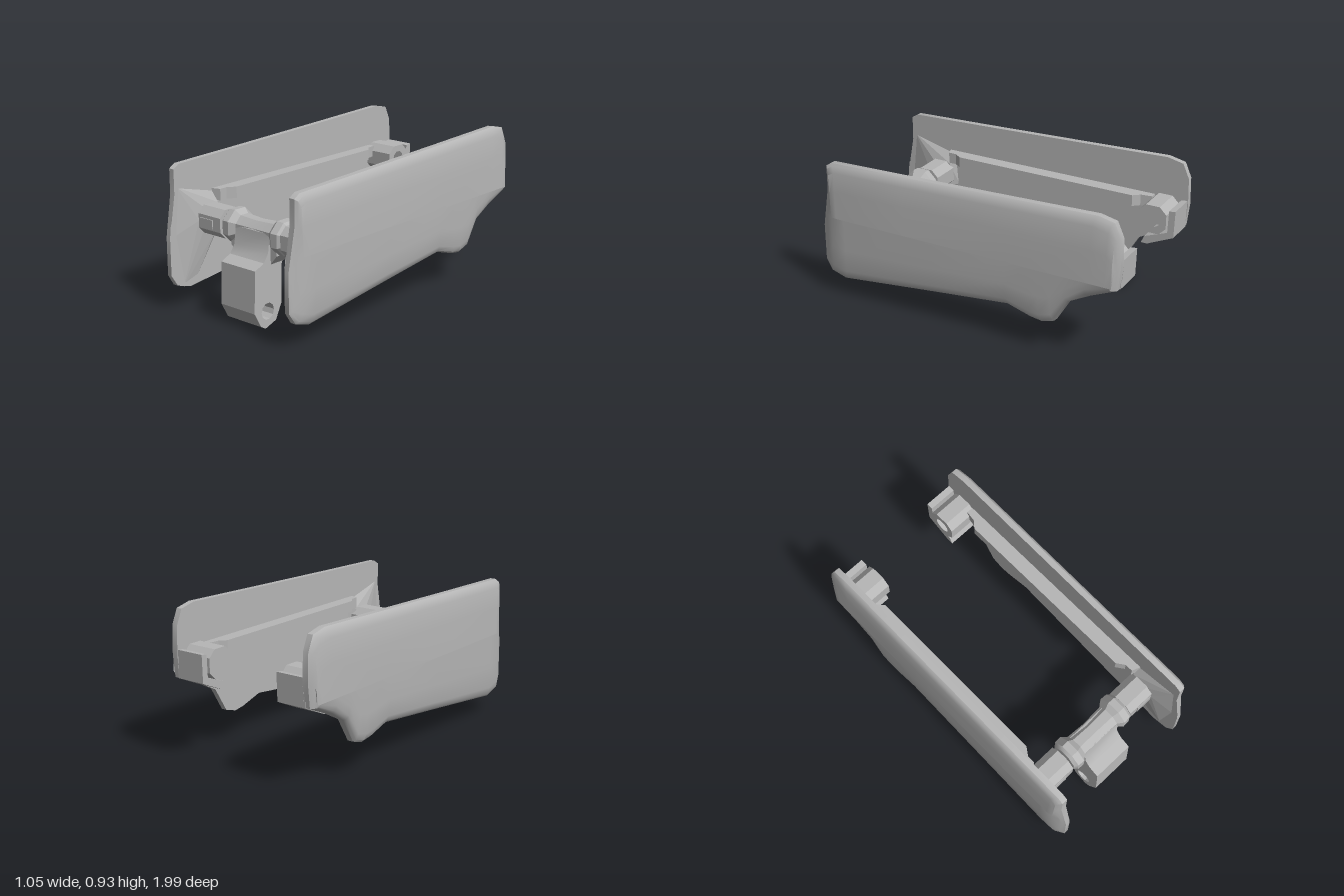
import * as THREE from 'three';
import { toCreasedNormals } from 'three/addons/utils/BufferGeometryUtils.js';
import { ConvexGeometry } from 'three/addons/geometries/ConvexGeometry.js';

const grey = new THREE.MeshStandardMaterial({ color: 0xb6b6b6 });
grey.name = 'plain grey';

const crease = (g, angle = 0.5) => toCreasedNormals(g, angle);

function add(group, name, geometry) {
  const mesh = new THREE.Mesh(geometry, grey);
  mesh.name = name;
  group.add(mesh);
}

// Mirror a non-indexed geometry across x = 0, keeping faces outward
function mirrorX(source) {
  const g = (source.index ? source.toNonIndexed() : source.clone());
  for (const key of ['position', 'normal']) {
    const a = g.attributes[key];
    for (let i = 0; i < a.count; i += 3) {
      const t = [0, 2, 1].map(k => [-a.getX(i + k), a.getY(i + k), a.getZ(i + k)]);
      t.forEach((v, k) => a.setXYZ(i + k, ...v));
    }
  }
  return g;
}

// Extrude a [z, y] outline from x0 to x1, with an optional round hole
function extrudeX(points, x0, x1, hole) {
  const shape = new THREE.Shape(points.map(([z, y]) => new THREE.Vector2(-z, y)));
  if (hole) {
    const path = new THREE.Path();
    path.absarc(-hole.z, hole.y, hole.r, 0, Math.PI * 2, true);
    shape.holes.push(path);
  }
  const g = new THREE.ExtrudeGeometry(shape, { depth: x1 - x0, bevelEnabled: false, curveSegments: 5 });
  g.rotateY(Math.PI / 2);
  g.translate(x0, 0, 0);
  return crease(g);
}

// Turned part along x; profile is [x, radius]
function turnedX(profile, y, z, sides = 8) {
  const g = new THREE.LatheGeometry(profile.map(([x, r]) => new THREE.Vector2(r, x)), sides, Math.PI / sides);
  g.rotateZ(-Math.PI / 2);
  g.translate(0, y, z);
  return crease(g, 0.6);
}

// Crowned side panel, lofted from its outline
function panelGeometry() {
  const outline = [
    [0.95, 0.85], [0.91, 0.875], [0.4, 0.89], [-0.3, 0.913], [-0.85, 0.932], [-0.95, 0.91], [-0.99, 0.82],
    [-0.995, 0.65], [-0.98, 0.51], [-0.82, 0.44], [-0.69, 0.37], [-0.6, 0.22], [-0.52, 0.195],
    [-0.45, 0.205], [-0.3, 0.25], [0.2, 0.195], [0.85, 0.12], [0.95, 0.15], [0.995, 0.22],
    [0.995, 0.45], [0.95, 0.7],
  ];
  // [x, y scale, z scale]
  const rings = [
    [0.452, 0, 0.99], [0.452, 1, 1], [0.488, 1, 1], [0.503, 0.96, 0.985],
    [0.514, 0.85, 0.97], [0.521, 0.5, 0.965], [0.525, 0, 0.96],
  ];
  const axis = 0.53, n = outline.length, pos = [], index = [];
  rings.forEach(([x, sy, sz]) => outline.forEach(([z, y]) => {
    const zz = z * sz;
    pos.push(Math.min(x, 0.525 - Math.max(0, zz - 0.9) * 0.45), axis + (y - axis) * sy, zz);
  }));
  for (let r = 0; r < rings.length - 1; r++) {
    for (let i = 0; i < n; i++) {
      const a = r * n + i, b = r * n + (i + 1) % n, c = a + n, d = b + n;
      index.push(a, c, b, b, c, d);
    }
  }
  const g = new THREE.BufferGeometry();
  g.setAttribute('position', new THREE.Float32BufferAttribute(pos, 3));
  g.setIndex(index);
  return crease(g, 0.6);
}

// Long rail on the inner face, with chamfered ends
function railGeometry() {
  const s = new THREE.Shape([
    [0.455, 0.66], [0.4, 0.64], [0.4, 0.59], [0.365, 0.54], [0.365, -0.67], [0.4, -0.71], [0.41, -0.78], [0.455, -0.78],
  ].map(([x, z]) => new THREE.Vector2(x, -z)));
  const g = new THREE.ExtrudeGeometry(s, { depth: 0.07, bevelEnabled: false });
  g.rotateX(-Math.PI / 2);
  g.translate(0, 0.61, 0);
  return crease(g);
}

// Faceted flare joining the front post to the panel
function flareGeometry() {
  return new ConvexGeometry([
    [0.455, 0.74, 0.93], [0.455, 0.45, 0.96], [0.455, 0.13, 0.9], [0.455, 0.16, 0.8],
    [0.455, 0.45, 0.6], [0.455, 0.66, 0.62],
    [0.415, 0.6, 0.65], [0.415, 0.6, 0.77], [0.418, 0.44, 0.66], [0.418, 0.44, 0.77], [0.415, 0.52, 0.8],
  ].map(p => new THREE.Vector3(...p)));
}

function bossOutline(z, y, r) {
  const c = r * 0.5;
  return [[r, c], [c, r], [-c, r], [-r, c], [-r, -c], [-c, -r], [c, -r], [r, -c]].map(([a, b]) => [z + a, y + b]);
}

export function createModel() {
  const model = new THREE.Group();
  model.name = 'clampAssembly';

  // Parts of the left side, repeated on the right
  const sideParts = {
    sidePanel: panelGeometry(),
    innerRail: railGeometry(),
    postFlare: flareGeometry(),
    frontPost: extrudeX(bossOutline(0.715, 0.522, 0.086), 0.238, 0.455),
    frontPostRib: new THREE.BoxGeometry(0.11, 0.055, 0.02).translate(0.353, 0.517, 0.797),
    rearBoss: extrudeX(bossOutline(-0.85, 0.605, 0.088), 0.26, 0.42, { z: -0.85, y: 0.605, r: 0.05 }),
    rearBossBase: extrudeX(bossOutline(-0.85, 0.605, 0.088), 0.42, 0.455),
    rearHook: extrudeX([
      [-0.99, 0.68], [-0.95, 0.675], [-0.945, 0.535], [-0.8, 0.48], [-0.78, 0.435], [-0.82, 0.435], [-0.985, 0.51],
    ], 0.27, 0.46),
  };
  for (const side of ['left', 'right']) {
    const group = new THREE.Group();
    group.name = side + 'Side';
    for (const [name, g] of Object.entries(sideParts)) add(group, name, side === 'left' ? g : mirrorX(g));
    model.add(group);
  }

  // Centre bar with flared collars, and the pin through it
  const centre = new THREE.Group();
  centre.name = 'centreLever';
  add(centre, 'flaredBar', turnedX([
    [-0.225, 0], [-0.225, 0.085], [-0.205, 0.105], [-0.16, 0.108], [-0.125, 0.078], [0, 0.07],
    [0.14, 0.078], [0.175, 0.108], [0.22, 0.105], [0.243, 0.085], [0.243, 0],
  ], 0.525, 0.715));
  add(centre, 'pin', turnedX([[-0.26, 0], [-0.26, 0.04], [0.26, 0.04], [0.26, 0]], 0.522, 0.715));

  // Lever hanging from the bar, with a cross hole near its tip
  add(centre, 'lever', extrudeX([
    [0.66, 0.575], [0.75, 0.58], [0.785, 0.545], [0.8, 0.44], [0.835, 0.39], [0.905, 0.36], [0.915, 0.11],
    [0.865, 0.02], [0.83, 0.0], [0.745, 0.03], [0.7, 0.12], [0.695, 0.35], [0.65, 0.45],
  ], -0.125, 0.142, { z: 0.81, y: 0.1, r: 0.05 }));

  // Webs easing the collars into the lever
  for (const [x, out] of [[-0.125, -0.045], [0.142, 0.045]]) {
    const pts = [];
    for (const z of [0.67, 0.78]) pts.push([x, 0.37, z], [x, 0.5, z], [x + out, 0.425, z], [x + out, 0.5, z]);
    add(centre, 'collarWeb', new ConvexGeometry(pts.map(p => new THREE.Vector3(...p))));
  }
  model.add(centre);
  return model;
}
